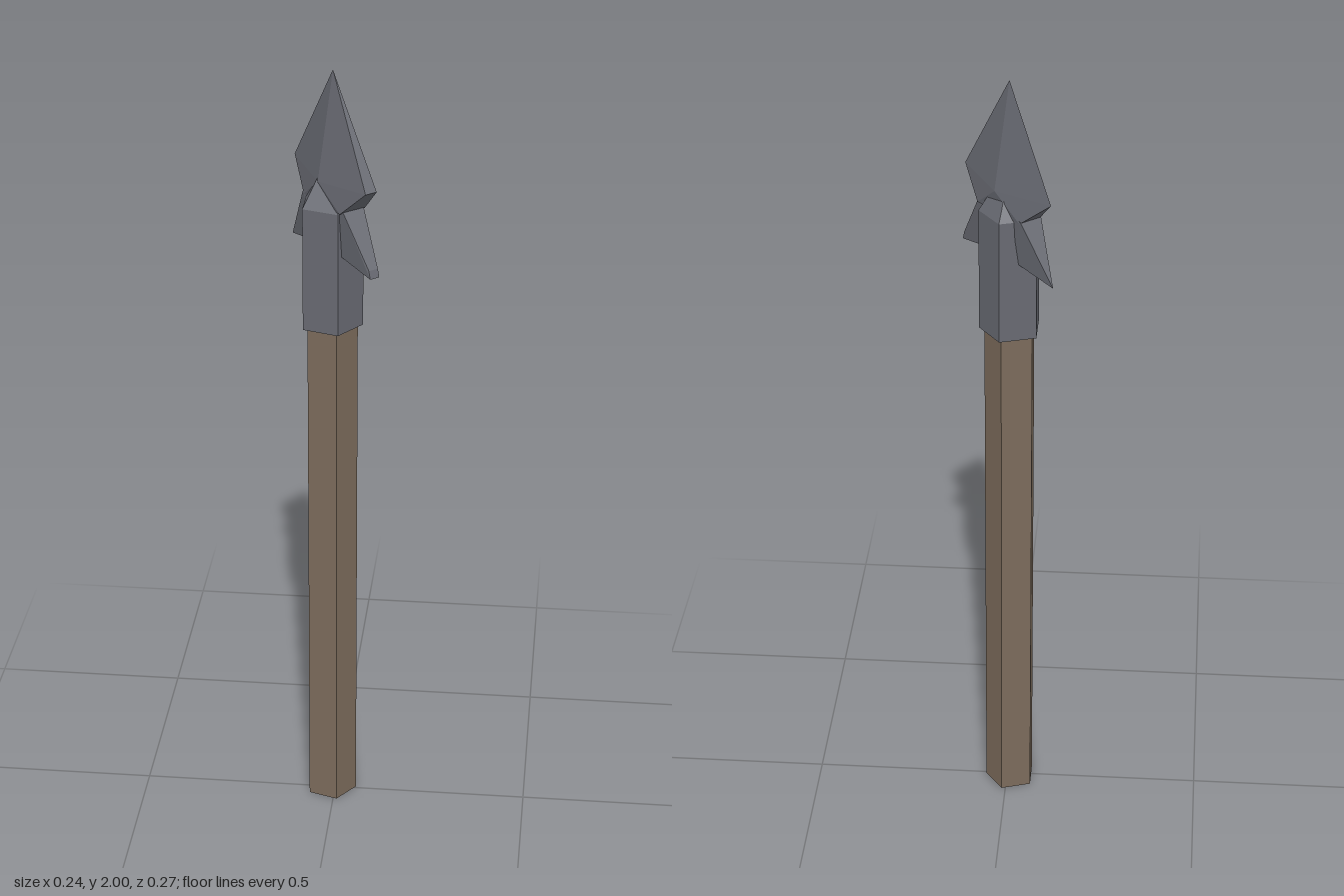
import * as THREE from 'three';
import { ConvexGeometry } from 'three/addons/geometries/ConvexGeometry.js';

const wood = new THREE.MeshStandardMaterial({ name: 'wood', color: 0x7b6b5b, flatShading: true });
const metal = new THREE.MeshStandardMaterial({ name: 'metal', color: 0x686a72, flatShading: true });

// five-sided prism or frustum with one corner pointing to +x
function pentagon(name, rTop, rBottom, y0, y1, material) {
  const geo = new THREE.CylinderGeometry(rTop, rBottom, y1 - y0, 5, 1, false, Math.PI / 2);
  const mesh = new THREE.Mesh(geo, material);
  mesh.name = name;
  mesh.position.set(-0.011, (y0 + y1) / 2, -0.006);
  return mesh;
}

// faceted solid wrapped around a few corner points
function facets(name, points) {
  const mesh = new THREE.Mesh(new ConvexGeometry(points.map((p) => new THREE.Vector3(...p))), metal);
  mesh.name = name;
  return mesh;
}

// two corners mirrored across the blade's thickness
const pair = (x, y, z) => [[x, y, z], [x, y, -z]];

export function createModel() {
  const model = new THREE.Group();
  model.name = 'spear';

  // shaft and the socket that holds the head
  model.add(pentagon('shaft', 0.066, 0.066, 0, 1.36, wood));
  model.add(pentagon('socket', 0.079, 0.079, 1.35, 1.665, metal));
  model.add(pentagon('socketShoulder', 0.035, 0.079, 1.665, 1.74, metal));

  // head lies in a vertical plane turned about the shaft
  const head = new THREE.Group();
  head.name = 'head';
  head.position.set(-0.006, 0, -0.007);
  head.rotation.y = -0.863;
  model.add(head);

  // blade: one blunt edge, one sharp edge, ridge on each face
  head.add(facets('blade', [
    [0, 2, 0],
    ...pair(0.157, 1.74, 0.016),
    [-0.163, 1.74, 0],
    ...pair(0, 1.73, 0.044),
    ...pair(0.08, 1.67, 0.036),
    ...pair(-0.08, 1.67, 0.03),
  ]));

  // swept-back barbs, one blunt and one pointed
  for (const side of [1, -1]) {
    const tip = side > 0
      ? [...pair(0.174, 1.53, 0.013), ...pair(0.168, 1.55, 0.013)]
      : [[-0.174, 1.53, 0]];
    head.add(facets(side > 0 ? 'bluntBarb' : 'pointedBarb', [
      ...pair(side * 0.03, 1.69, 0.03),
      ...pair(side * 0.085, 1.675, 0.03),
      ...pair(side * 0.03, 1.56, 0.024),
      ...tip,
    ]));
  }
  return model;
}
